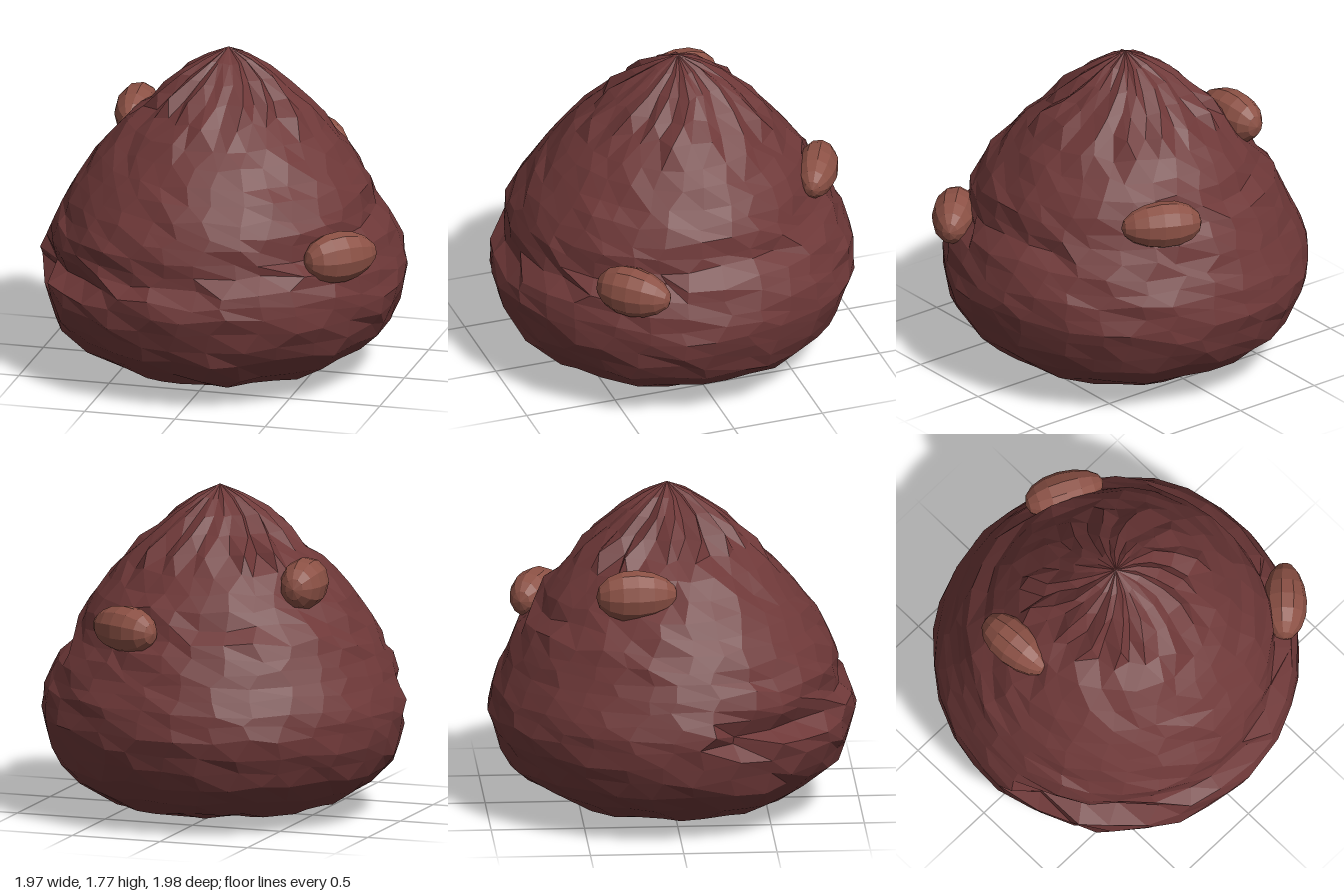
import * as THREE from 'three';

const SEGMENTS = 30;
const HEIGHT = 1.78;

// radius, height from the base centre up to the tip
const PROFILE = [
  [0, 0.005], [0.2, 0.012], [0.4, 0.03], [0.61, 0.08], [0.78, 0.17], [0.895, 0.28],
  [0.94, 0.37], [0.97, 0.46], [0.985, 0.55], [0.975, 0.62], [0.96, 0.69], [0.93, 0.76],
  [0.9, 0.83], [0.865, 0.9], [0.835, 0.97], [0.795, 1.04], [0.74, 1.12], [0.68, 1.2],
  [0.61, 1.28], [0.53, 1.37], [0.44, 1.46], [0.34, 1.55], [0.24, 1.64], [0.12, 1.72], [0, HEIGHT],
];

// repeatable noise in -1..1
function noise(a, b, c) {
  const s = Math.sin(a * 12.9898 + b * 78.233 + c * 37.719) * 43758.5453;
  return 2 * (s - Math.floor(s)) - 1;
}

// depth of the ledge that winds up from the left front around the body
function ledgeDepth(angle, y) {
  const turn = (Math.PI * 2 + angle) % (Math.PI * 2);
  const above = y - (0.5 + turn * 0.113);
  if (turn < 0.3 || above < 0 || above > 0.2) return 0;
  const deep = turn < 0.9 ? 0.12 : turn < 3.6 ? 0.07 : 0.04;
  return deep * (1 - above / 0.2);
}

function bodyGeometry() {
  const points = PROFILE.map(([r, y]) => new THREE.Vector2(r, y));
  const geometry = new THREE.LatheGeometry(points, SEGMENTS);
  const pos = geometry.attributes.position;
  const rows = PROFILE.length;
  for (let k = 0; k < pos.count; k++) {
    const column = Math.floor(k / rows) % SEGMENTS;
    const row = k % rows;
    let [r, y] = PROFILE[row];
    // twist the columns, with a tighter swirl toward the tip
    let angle = (column / SEGMENTS) * Math.PI * 2 + y * 0.25 + Math.max(0, y - 1.3) * 0.9;
    if (r > 0) {
      const rough = Math.min(1, r * 2);
      angle += noise(column, row, 1) * 0.05;
      y += noise(column, row, 2) * 0.018 * rough;
      // angle 0 on the left edge of the front, growing across the front
      r -= ledgeDepth(angle, y);
      r += noise(column, row, 3) * 0.012 * rough;
      // pleats gathered at the tip
      if (y > 1.45) r *= 1 + (column % 2 ? 0.06 : -0.06) + noise(column, 5, 4) * 0.05;
    }
    const lean = Math.max(0, y - 1) / (HEIGHT - 1);
    pos.setXYZ(k, -r * Math.cos(angle) + 0.02 * lean, Math.max(0, y), r * Math.sin(angle) - 0.025 * lean);
  }
  return geometry.toNonIndexed();
}

// pebble with its long axis along local z
function pebbleGeometry() {
  const geometry = new THREE.SphereGeometry(1, 11, 8);
  geometry.rotateX(Math.PI / 2);
  const pos = geometry.attributes.position;
  for (let k = 0; k < pos.count; k++) {
    const z = pos.getZ(k);
    const taper = 1 - 0.1 * z;
    pos.setXYZ(k, pos.getX(k) * taper, pos.getY(k) * taper, z);
  }
  return geometry;
}

export function createModel() {
  const model = new THREE.Group();
  model.name = 'lumpyDrop';

  const bodyMaterial = new THREE.MeshStandardMaterial({ color: 0x6e3838, flatShading: true });
  const lumpMaterial = new THREE.MeshStandardMaterial({ color: 0x8c5145, flatShading: true });

  const body = new THREE.Mesh(bodyGeometry(), bodyMaterial);
  body.name = 'body';
  model.add(body);

  // centre, half sizes (z is the long one), heading of the long axis
  const lumps = [
    ['frontLeftLump', [0.78, 0.825, 0.49], [0.12, 0.14, 0.215], 2.36],
    ['backLump', [0.31, 1.09, -0.71], [0.115, 0.13, 0.22], 1.12],
    ['rightLump', [-0.54, 1.31, -0.22], [0.12, 0.14, 0.22], 0.05],
  ];
  const pebble = pebbleGeometry();
  for (const [name, centre, size, heading] of lumps) {
    const lump = new THREE.Mesh(pebble, lumpMaterial);
    lump.name = name;
    lump.position.set(...centre);
    lump.scale.set(...size);
    lump.rotation.y = heading;
    model.add(lump);
  }
  return model;
}
